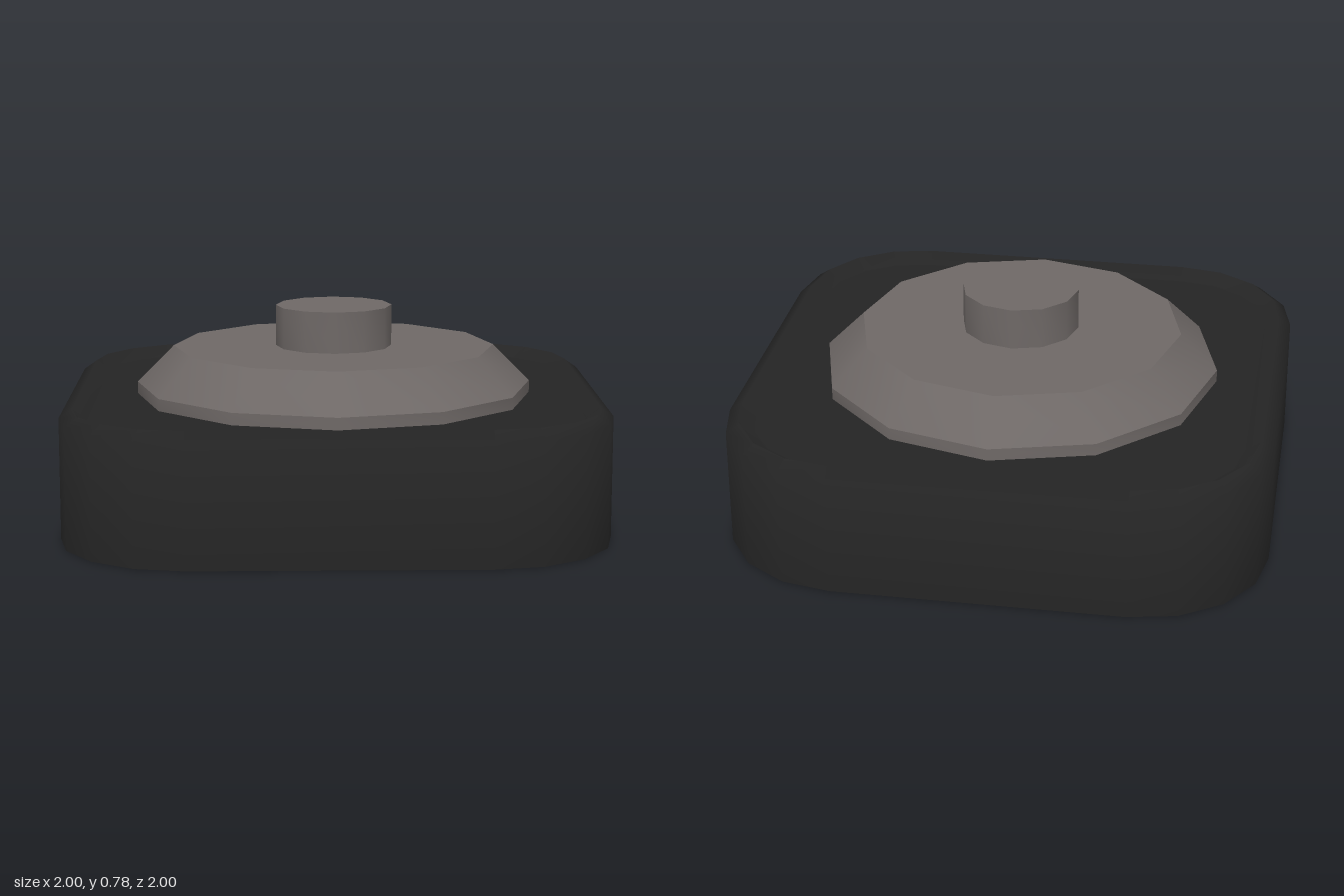
import * as THREE from 'three';
import { toCreasedNormals } from 'three/addons/utils/BufferGeometryUtils.js';

const CORNER_CENTRE = 0.53;
const CORNER_STEPS = 4;

// Rounded-square loop whose sides lie at the given half width
function roundedSquare(half, y) {
  const points = [];
  const radius = half - CORNER_CENTRE;
  for (let q = 0; q < 4; q++) {
    const mid = Math.PI / 4 + q * Math.PI / 2;
    const cx = Math.sign(Math.cos(mid)) * CORNER_CENTRE;
    const cz = Math.sign(Math.sin(mid)) * CORNER_CENTRE;
    for (let i = 0; i <= CORNER_STEPS; i++) {
      const a = (q + i / CORNER_STEPS) * Math.PI / 2;
      points.push(half === 0
        ? [0, y, 0]
        : [cx + radius * Math.cos(a), y, cz + radius * Math.sin(a)]);
    }
  }
  return points;
}

// Skin a [half width, height] profile around the rounded square
function roundedSquareSolid(profile) {
  const loops = profile.map(([half, y]) => roundedSquare(half, y));
  const n = loops[0].length;
  const index = [];
  for (let k = 0; k < loops.length - 1; k++) {
    for (let i = 0; i < n; i++) {
      const j = (i + 1) % n;
      const a = k * n + i, b = k * n + j, c = a + n, d = b + n;
      if (profile[k][0] > 0) index.push(a, c, b);
      if (profile[k + 1][0] > 0) index.push(b, c, d);
    }
  }
  const geometry = new THREE.BufferGeometry();
  geometry.setAttribute('position', new THREE.Float32BufferAttribute(loops.flat(2), 3));
  geometry.setIndex(index);
  return toCreasedNormals(geometry, 1.3);
}

// Twelve-sided turned part, smooth around and sharp at its rims
function turned(profile) {
  const points = profile.map(([r, y]) => new THREE.Vector2(r, y));
  return toCreasedNormals(new THREE.LatheGeometry(points, 12), 0.6);
}

export function createModel() {
  const model = new THREE.Group();
  model.name = 'buttonUnit';

  const black = new THREE.MeshStandardMaterial({ color: 0x242424 });
  black.name = 'black housing';
  const grey = new THREE.MeshStandardMaterial({ color: 0x6e6866 });
  grey.name = 'warm grey';

  const add = (name, geometry, material) => {
    const mesh = new THREE.Mesh(geometry, material);
    mesh.name = name;
    model.add(mesh);
  };

  // Housing with a raised rim around a shallow recess
  add('housing', roundedSquareSolid([
    [0, 0], [1, 0], [1, 0.445], [0.95, 0.48], [0.9, 0.44], [0.89, 0.44], [0, 0.44],
  ]), black);

  // Bevelled disc
  add('disc', turned([[0.75, 0.44], [0.75, 0.485], [0.61, 0.625], [0, 0.625]]), grey);

  // Centre knob
  add('knob', turned([[0.22, 0.62], [0.22, 0.78], [0, 0.78]]), grey);

  return model;
}
